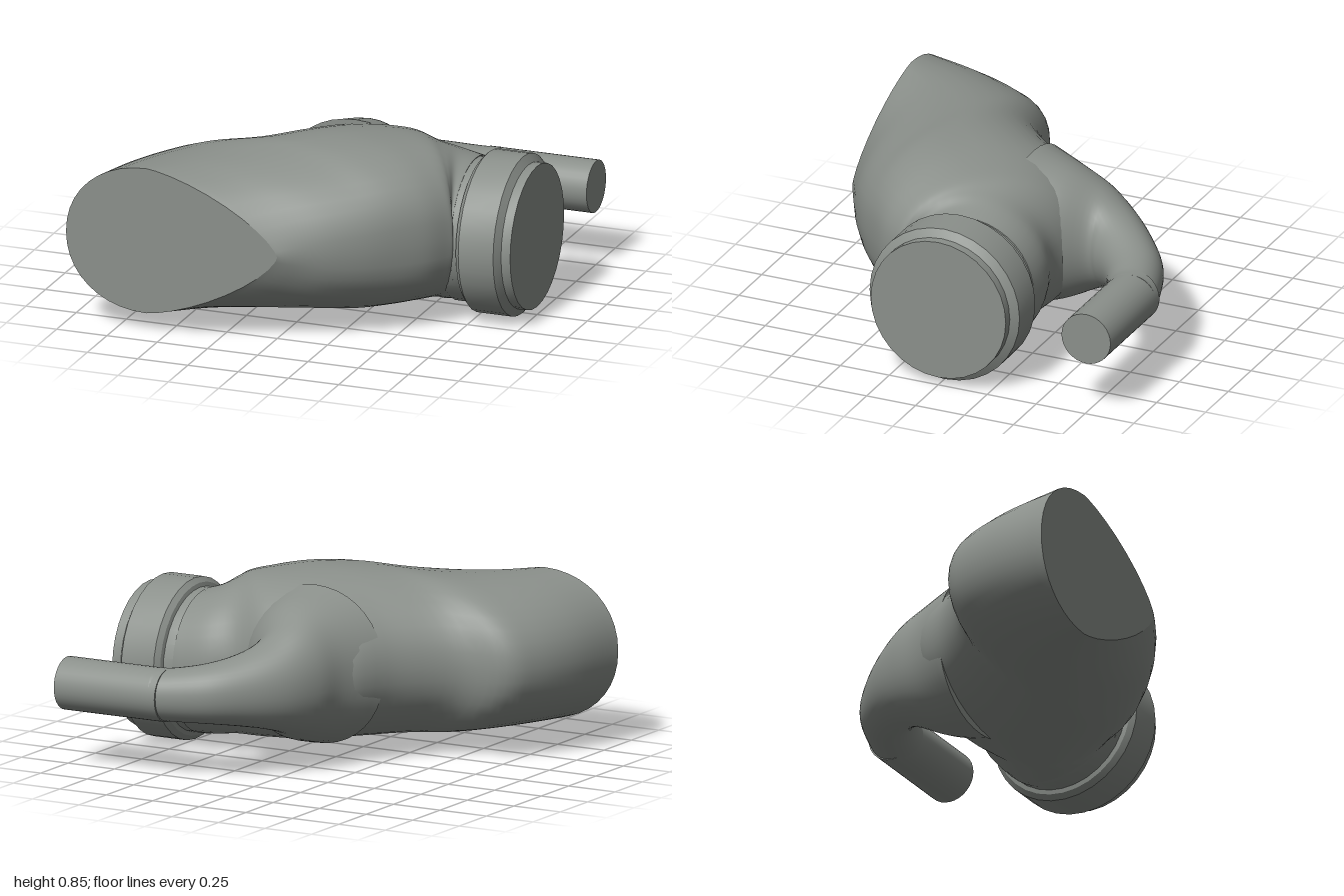
import * as THREE from 'three';
import { toCreasedNormals } from 'three/addons/utils/BufferGeometryUtils.js';

const SIDES = 40, STEPS = 5;

// Each station: left x, left z, right x, right z, bottom y, top y,
// crown position across the width, roundness exponent of the right half.
function interpolate(stations) {
  const column = (a, b, c) => new THREE.CatmullRomCurve3(
    stations.map(s => new THREE.Vector3(s[a], s[b], s[c])), false, 'catmullrom', 0.5);
  const curves = [column(0, 1, 4), column(2, 3, 5), column(6, 7, 7)];
  const count = (stations.length - 1) * STEPS;
  return Array.from({ length: count + 1 }, (_, i) => curves.map(c => c.getPoint(i / count)));
}

// One egg-shaped closed ring
function makeRing([l, r, shape]) {
  const left = new THREE.Vector3(l.x, 0, l.y), right = new THREE.Vector3(r.x, 0, r.y);
  const crown = left.clone().lerp(right, shape.x);
  const mid = (l.z + r.z) / 2, half = (r.z - l.z) / 2;
  return Array.from({ length: SIDES }, (_, j) => {
    const a = j / SIDES * Math.PI * 2, c = Math.cos(a), s = Math.sin(a);
    const n = c > 0 ? shape.y : 2.1;
    const p = crown.clone().lerp(c > 0 ? right : left, Math.pow(Math.abs(c), 2 / n));
    p.y = mid + half * Math.sign(s) * Math.pow(Math.abs(s), 2 / n);
    return p;
  });
}

function loft(stations) {
  const rings = interpolate(stations).map(makeRing);
  const pos = [], index = [];
  rings.forEach(ring => ring.forEach(p => pos.push(p.x, p.y, p.z)));
  for (let i = 0; i < rings.length - 1; i++) {
    for (let j = 0; j < SIDES; j++) {
      const k = (j + 1) % SIDES, a = i * SIDES, b = a + SIDES;
      index.push(a + j, b + j, a + k, a + k, b + j, b + k);
    }
  }
  // End caps with their own vertices
  [rings[0], rings[rings.length - 1]].forEach((ring, end) => {
    const base = pos.length / 3;
    const centre = ring.reduce((t, p) => t.add(p), new THREE.Vector3()).divideScalar(SIDES);
    [centre, ...ring].forEach(p => pos.push(p.x, p.y, p.z));
    for (let j = 0; j < SIDES; j++) {
      const a = base + 1 + j, b = base + 1 + (j + 1) % SIDES;
      index.push(base, end ? b : a, end ? a : b);
    }
  });
  const g = new THREE.BufferGeometry();
  g.setAttribute('position', new THREE.Float32BufferAttribute(pos, 3));
  g.setIndex(index);
  g.computeVertexNormals();
  return g;
}

// Turned part lying along x; profile given as [radius, x]
function turned(profile, segments) {
  const g = new THREE.LatheGeometry(profile.map(p => new THREE.Vector2(...p)), segments);
  g.rotateZ(-Math.PI / 2);
  return toCreasedNormals(g, 0.5);
}

export function createModel() {
  const model = new THREE.Group();
  const grey = new THREE.MeshStandardMaterial({ color: 0x8b908b });
  grey.name = 'grey';
  const add = (name, geometry, y = 0, z = 0) => {
    const mesh = new THREE.Mesh(geometry, grey);
    mesh.name = name;
    mesh.position.set(0, y, z);
    model.add(mesh);
  };

  // Wide bent body, from the front opening round to the collar
  add('body', loft([
    [-1, 0.88, 0.05, 0.88, 0.09, 0.80, 0.38, 1.4],
    [-0.95, 0.6, 0.14, 0.835, 0.088, 0.802, 0.42, 1.8],
    [-0.87, 0.38, 0.28, 0.76, 0.08, 0.81, 0.45, 2.2],
    [-0.77, 0.25, 0.42, 0.665, 0.07, 0.825, 0.48, 2.4],
    [-0.55, 0.17, 0.54, 0.56, 0.06, 0.845, 0.5, 2.5],
    [-0.35, -0.02, 0.64, 0.46, 0.055, 0.853, 0.5, 2.5],
    [-0.18, -0.25, 0.7, 0.37, 0.055, 0.84, 0.55, 2.4],
    [0.12, -0.35, 0.715, 0.345, 0.06, 0.82, 0.55, 2.2],
    [0.36, -0.3, 0.71, 0.335, 0.055, 0.785, 0.52, 2.1],
    [0.52, -0.335, 0.7, 0.335, 0.05, 0.75, 0.5, 2],
    [0.68, -0.34, 0.7, 0.34, 0.045, 0.725, 0.5, 2],
  ]));

  // Tapering neck that curves off to the narrow pipe
  add('neck', loft([
    [-0.3, -0.07, 0.45, -0.05, 0.07, 0.82, 0.5, 2.1],
    [-0.2, -0.25, 0.35, -0.25, 0.12, 0.765, 0.5, 2],
    [-0.15, -0.4, 0.24, -0.39, 0.18, 0.685, 0.5, 2],
    [-0.07, -0.54, 0.255, -0.45, 0.215, 0.62, 0.5, 2],
    [0.06, -0.675, 0.305, -0.515, 0.24, 0.57, 0.5, 2],
    [0.22, -0.79, 0.375, -0.57, 0.255, 0.535, 0.5, 2],
    [0.42, -0.86, 0.47, -0.615, 0.26, 0.51, 0.5, 2],
    [0.5, -0.878, 0.54, -0.632, 0.262, 0.508, 0.5, 2],
  ]));

  add('narrowPipe', turned([[0, 0.46], [0.125, 0.46], [0.125, 1], [0, 1]], 32), 0.383, -0.755);

  // Wide pipe end with its raised chamfered collar
  add('collar', turned([
    [0, 0.56], [0.295, 0.56], [0.34, 0.645], [0.34, 0.73], [0.36, 0.735], [0.383, 0.757],
    [0.383, 0.93], [0.345, 0.955], [0.345, 1], [0, 1],
  ], 32), 0.383, 0);

  return model;
}
